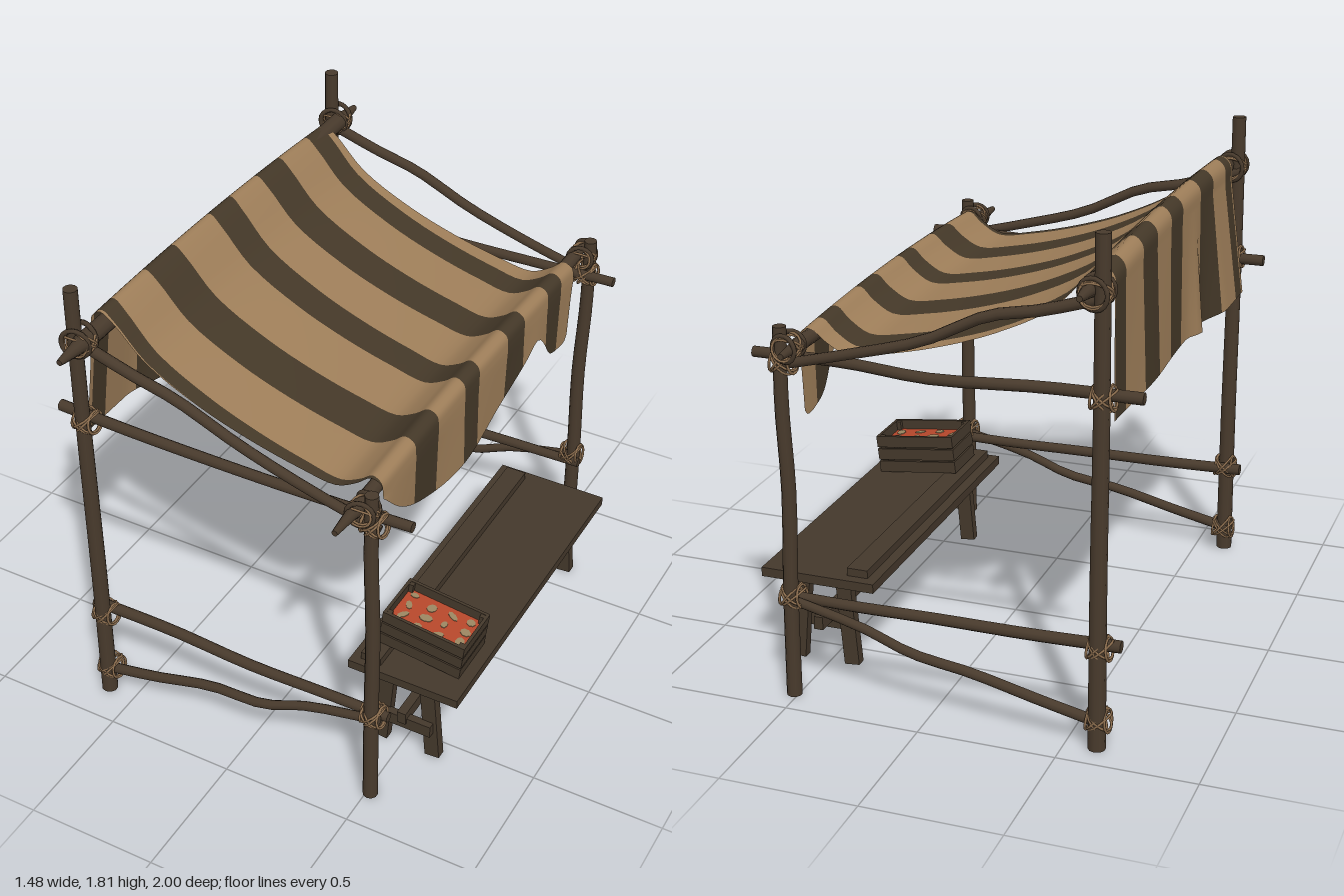
import * as THREE from 'three';

const mat = (name, color, extra = {}) => new THREE.MeshStandardMaterial({ name, color, ...extra });

export function createModel() {
  const root = new THREE.Group();
  root.name = 'marketStall';
  const wood = mat('pole wood', 0x483a2c);
  const plank = mat('plank wood', 0x44382b);
  const rope = mat('rope', 0x8a6c4d);
  const lightCloth = mat('light cloth', 0x9e7e59, { side: THREE.DoubleSide });
  const darkCloth = mat('dark cloth', 0x443828, { side: THREE.DoubleSide });
  const red = mat('red produce', 0xb5472b);
  const straw = mat('straw', 0x9a8560);

  const add = (parent, name, geo, material) => {
    const m = new THREE.Mesh(geo, material);
    m.name = name;
    parent.add(m);
    return m;
  };
  const box = (parent, name, size, pos, material = plank) => {
    const m = add(parent, name, new THREE.BoxGeometry(...size), material);
    m.position.set(...pos);
    return m;
  };

  // Crooked pole: a capped cylinder bent along a curve
  const pole = (name, pts, r0, r1 = r0) => {
    const p = pts.map(a => new THREE.Vector3(...a));
    const curve = new THREE.CatmullRomCurve3(p, false, 'centripetal');
    const dir = p[p.length - 1].clone().sub(p[0]).normalize();
    const q = new THREE.Quaternion().setFromUnitVectors(new THREE.Vector3(0, 1, 0), dir);
    const geo = new THREE.CylinderGeometry(r1, r0, 1, 10, 14);
    const pos = geo.attributes.position, nor = geo.attributes.normal, v = new THREE.Vector3();
    for (let i = 0; i < pos.count; i++) {
      const t = THREE.MathUtils.clamp(pos.getY(i) + 0.5, 0, 1);
      v.set(pos.getX(i), 0, pos.getZ(i)).applyQuaternion(q).add(curve.getPoint(t));
      pos.setXYZ(i, v.x, v.y, v.z);
      v.fromBufferAttribute(nor, i).applyQuaternion(q);
      nor.setXYZ(i, v.x, v.y, v.z);
    }
    return add(root, name, geo, wood);
  };

  // Rope lashing: crossed turns over the joint, with rings round post and rail
  const lash = (x, y, z, r, turn = 0) => {
    const g = new THREE.Group();
    g.name = 'ropeLashing';
    g.position.set(x, y, z);
    g.rotation.y = turn;
    const ring = (rad, tube, rx, ry, rz, pos) => {
      const t = add(g, 'ropeTurn', new THREE.TorusGeometry(rad, tube, 6, 18), rope);
      t.rotation.set(rx, ry, rz, 'ZYX');
      t.position.set(...pos);
    };
    for (const s of [-1, 1]) {
      for (const e of [-1, 1])
        ring(r, 0.0045, Math.PI / 2, 0, s * (Math.PI / 4 + e * 0.09), [e * 0.005, -s * e * 0.005, 0]);
      ring(r * 0.82, 0.005, 0, Math.PI / 2, s * 0.12, [s * 0.034, 0, 0]);
    }
    root.add(g);
    return g;
  };

  // Side frames: posts, rails, braces and lashings
  const sides = [{ s: 1, z: 0.85 }, { s: -1, z: -0.895 }];
  for (const { s, z } of sides) {
    const zi = z - s * 0.05, zm = z - s * 0.012;
    pole('tallPost', [[-0.614, 0, z], [-0.611, 0.6, z], [-0.613, 1.2, z], [-0.61, 1.81, z]], 0.031, 0.026);
    pole('shortPost', [[0.515, 0, z], [0.515, 0.4, z - s * 0.003], [0.513, 0.78, z - s * 0.016], [0.516, 1.1, z + s * 0.004], [0.515, 1.38, z]], 0.028, 0.024);
    pole('upperRail', [[-0.74, 1.26, zi], [-0.4, 1.255, zi + 0.008], [0, 1.24, zi - 0.004], [0.3, 1.255, zi + 0.008], [0.64, 1.26, zi]], 0.021, 0.019);
    pole('lowerRail', [[-0.68, 0.37, zi], [-0.35, 0.365, zi - 0.006], [0, 0.358, zi + 0.006], [0.3, 0.357, zi], [0.56, 0.36, zi]], 0.022, 0.019);
    pole('upperBrace', [[-0.63, 1.6, zm], [-0.4, 1.53, zm], [-0.22, 1.49, zm + 0.006], [0, 1.385, zm - 0.006], [0.25, 1.31, zm], [0.54, 1.235, zm]], 0.021, 0.018);
    pole('lowerBrace', [[-0.63, 0.09, zm], [-0.4, 0.14, zm], [-0.16, 0.2, zm - 0.006], [0.07, 0.23, zm + 0.006], [0.25, 0.3, zm], [0.54, 0.37, zm]], 0.02, 0.017);
    for (const [x, y] of [[-0.612, 1.26], [-0.612, 0.37], [-0.612, 0.1], [0.515, 1.25], [0.515, 0.38]])
      lash(x, y, z - s * 0.022, 0.05);
    for (const [x, y, r] of [[-0.588, 1.615, 0.056], [0.488, 1.31, 0.05]]) {
      lash(x, y, z, r, Math.PI / 2);
      for (const e of [-1, 1]) { // thick coils round the ridge beam
        const coil = add(root, 'beamCoil', new THREE.TorusGeometry(r * 0.92, 0.009, 6, 18), wood);
        coil.position.set(x, y, z + e * 0.03);
        coil.rotation.y = e * 0.2;
      }
    }
  }

  // Ridge beams with sharpened ends
  for (const [x, y, r] of [[-0.567, 1.62, 0.034], [0.462, 1.31, 0.026]]) {
    pole('ridgeBeam', [[x, y, -0.88], [x + 0.004, y, -0.3], [x - 0.004, y, 0.3], [x, y, 0.88]], r);
    for (const s of [-1, 1])
      pole('sharpenedEnd', [[x, y, s * 0.88], [x, y, s]], r, 0.011);
  }

  // Striped awning: profile rows across x, columns follow the stripe edges
  const Z0 = -0.77, Z1 = 0.755;
  const spline = (pts, n) => new THREE.CatmullRomCurve3(
    pts.map(([x, y]) => new THREE.Vector3(x, y, 0)), false, 'centripetal').getPoints(n);
  const roof = spline([[-0.612, 1.58], [-0.606, 1.645], [-0.57, 1.672], [-0.52, 1.64], [-0.4, 1.52], [-0.2, 1.415], [0, 1.345],
    [0.2, 1.297], [0.33, 1.28], [0.41, 1.32], [0.46, 1.358], [0.497, 1.345], [0.507, 1.29]], 48);
  const valance = spline([[-0.77, 1.25], [-0.745, 1.015], [-0.65, 1.02], [-0.58, 1.05], [-0.5, 1.15], [-0.44, 1.195], [-0.35, 1.155],
    [-0.2, 1.095], [0, 1.045], [0.2, 1.03], [0.35, 1.045], [0.5, 1.095], [0.62, 1.165], [0.7, 1.235], [0.755, 1.3]], 70);
  const hem = z => {
    let i = 1;
    while (i < valance.length - 1 && z > valance[i].x) i++;
    const a = valance[i - 1], b = valance[i];
    return THREE.MathUtils.mapLinear(z, a.x, b.x, a.y, b.y);
  };
  const bump = (z, at, width) => Math.exp(-(((z - at) / width) ** 2));
  const DROP = 6;
  const clothPoint = (row, z) => {
    const lift = 0.016 - 0.04 * (z - 0.2) ** 2;
    if (row < DROP) { // rear drape with soft folds
      const t = 1 - row / DROP;
      const fold = 0.005 + 0.016 * bump(z, -0.35, 0.25) + 0.036 * bump(z, 0.21, 0.05)
        + 0.054 * THREE.MathUtils.smoothstep(z, 0.3, 0.52);
      return [-0.612 - fold * t, 1.58 + lift - t * (0.44 + lift), z];
    }
    const k = row - DROP;
    if (k < roof.length) return [roof[k].x, roof[k].y + lift, z];
    const t = (k - roof.length + 1) / DROP; // front valance
    const top = 1.29 + lift;
    return [0.507 + t * 0.006 * Math.sin(z * 11), top + (Math.min(hem(z), top) - top) * t, z];
  };
  const edges = [[Z0, Z0], [-0.76, -0.65], [-0.65, -0.53], [-0.45, -0.325], [-0.28, -0.185], [-0.11, 0.05], [0.04, 0.16],
    [0.285, 0.36], [0.465, 0.525], [0.65, 0.76], [0.735, 0.78], [Z1, Z1]];
  const SUB = 7, rows = DROP * 2 + roof.length, cols = (edges.length - 1) * SUB + 1;
  const verts = [], index = [];
  for (let c = 0; c < cols; c++) {
    const b = Math.min(Math.floor(c / SUB), edges.length - 2), f = c / SUB - b;
    for (let r = 0; r < rows; r++) {
      const t = THREE.MathUtils.clamp((r - DROP) / roof.length, 0, 1);
      const edgeAt = e => THREE.MathUtils.clamp(THREE.MathUtils.lerp(e[0], e[1], t), Z0, Z1);
      verts.push(...clothPoint(r, THREE.MathUtils.lerp(edgeAt(edges[b]), edgeAt(edges[b + 1]), f)));
    }
  }
  const cloth = new THREE.BufferGeometry();
  for (let c = 0; c < cols - 1; c++)
    for (let r = 0; r < rows - 1; r++) {
      const a = c * rows + r, d = a + rows;
      index.push(a, d, a + 1, a + 1, d, d + 1);
    }
  const perBand = SUB * (rows - 1) * 6;
  for (let b = 0; b < edges.length - 1; b++) cloth.addGroup(b * perBand, perBand, b % 2);
  cloth.setAttribute('position', new THREE.Float32BufferAttribute(verts, 3));
  cloth.setIndex(index);
  cloth.computeVertexNormals();
  add(root, 'awning', cloth, [lightCloth, darkCloth]);

  // Bench
  const bench = new THREE.Group();
  bench.name = 'bench';
  root.add(bench);
  box(bench, 'benchTop', [0.44, 0.035, 1.3], [0.517, 0.347, -0.03]);
  box(bench, 'raisedPlank', [0.08, 0.03, 1.23], [0.375, 0.38, -0.025]);
  box(bench, 'longStretcher', [0.035, 0.05, 1.3], [0.517, 0.175, -0.03]);
  for (const z of [0.565, -0.61]) {
    for (const s of [-1, 1]) {
      const leg = box(bench, 'benchLeg', [0.058, 0.33, 0.038], [0.519 + s * 0.094, 0.166, z]);
      leg.rotation.z = s * 0.085;
    }
    box(bench, 'crossStretcher', [0.22, 0.05, 0.03], [0.519, 0.145, z + 0.03]);
  }

  // Tilted slatted crate
  const crate = new THREE.Group();
  crate.name = 'crate';
  crate.position.set(0.528, 0.38, 0.41);
  crate.rotation.z = -0.115;
  root.add(crate);
  const W = 0.328, D = 0.21;
  box(crate, 'crateFloor', [W - 0.03, 0.01, D - 0.03], [0, 0.008, 0]);
  for (const s of [-1, 1]) {
    for (let i = 0; i < 3; i++) {
      const y = 0.025 + i * 0.053;
      box(crate, 'longSlat', [W, 0.046, 0.012], [0, y, s * (D / 2 - 0.006)]);
      box(crate, 'endSlat', [0.012, 0.046, D - 0.024], [s * (W / 2 - 0.006), y, 0]);
    }
    for (const e of [-1, 1])
      box(crate, 'cornerPost', [0.018, 0.15, 0.018], [s * (W / 2 - 0.02), 0.077, e * (D / 2 - 0.02)]);
  }
  box(crate, 'produce', [W - 0.026, 0.01, D - 0.026], [0, 0.111, 0], red);
  for (let i = 0; i < 12; i++) { // straw patches between the produce
    const patch = add(crate, 'strawPatch', new THREE.CylinderGeometry(0.017, 0.017, 0.003, 8), straw);
    patch.position.set(-0.12 + (i % 4) * 0.078 + (i % 3) * 0.004, 0.117, -0.058 + Math.floor(i / 4) * 0.055 + ((i * 7) % 4 - 1.5) * 0.008);
    patch.scale.set(1 + (i % 3) * 0.25, 1, 0.7 + (i % 2) * 0.35);
    patch.rotation.y = i * 1.3;
  }
  return root;
}
